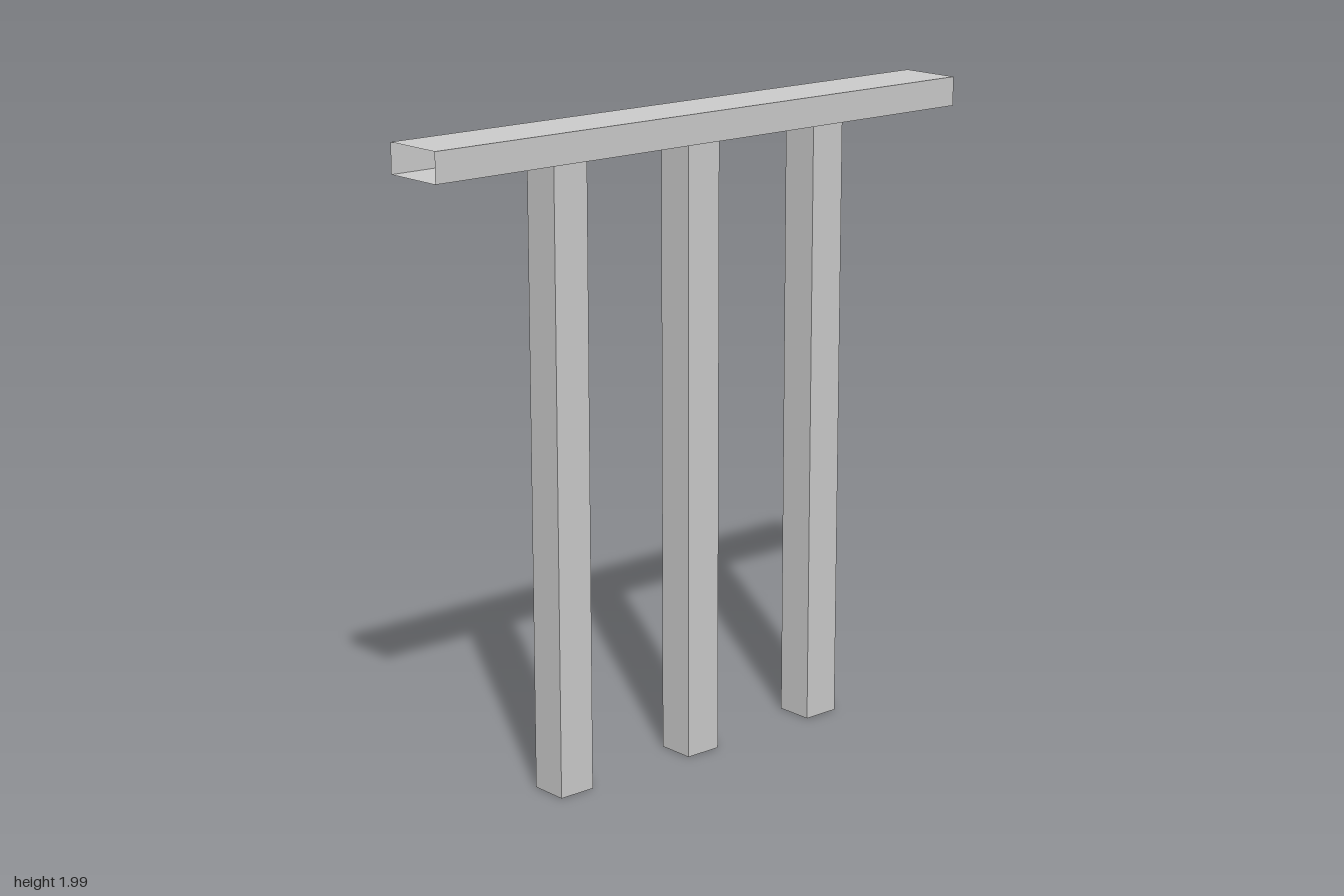
import * as THREE from 'three';

const material = new THREE.MeshStandardMaterial({
  color: 0xcccccc, flatShading: true, side: THREE.DoubleSide,
});

// Thin rectangular tube along y, open at both ends
function openTube(name, width, length, depth) {
  const geometry = new THREE.CylinderGeometry(
    Math.SQRT1_2, Math.SQRT1_2, 1, 4, 1, true, Math.PI / 4,
  ).scale(width, length, depth).toNonIndexed();
  geometry.computeVertexNormals();
  const mesh = new THREE.Mesh(geometry, material);
  mesh.name = name;
  return mesh;
}

export function createModel() {
  const group = new THREE.Group();
  group.name = 'postAndBeamFrame';

  const beamHeight = 0.09;
  const postHeight = 1.943; // posts end at mid-height inside the beam

  // Hollow top beam, laid along x
  const beam = openTube('topBeam', beamHeight, 2, 0.2);
  beam.rotation.z = Math.PI / 2;
  beam.position.y = postHeight;
  group.add(beam);

  // Three hollow square posts
  [['rightPost', -0.5], ['middlePost', 0], ['leftPost', 0.5]].forEach(([name, x]) => {
    const post = openTube(name, 0.12, postHeight, 0.12);
    post.position.set(x, postHeight / 2, 0);
    group.add(post);
  });

  return group;
}
